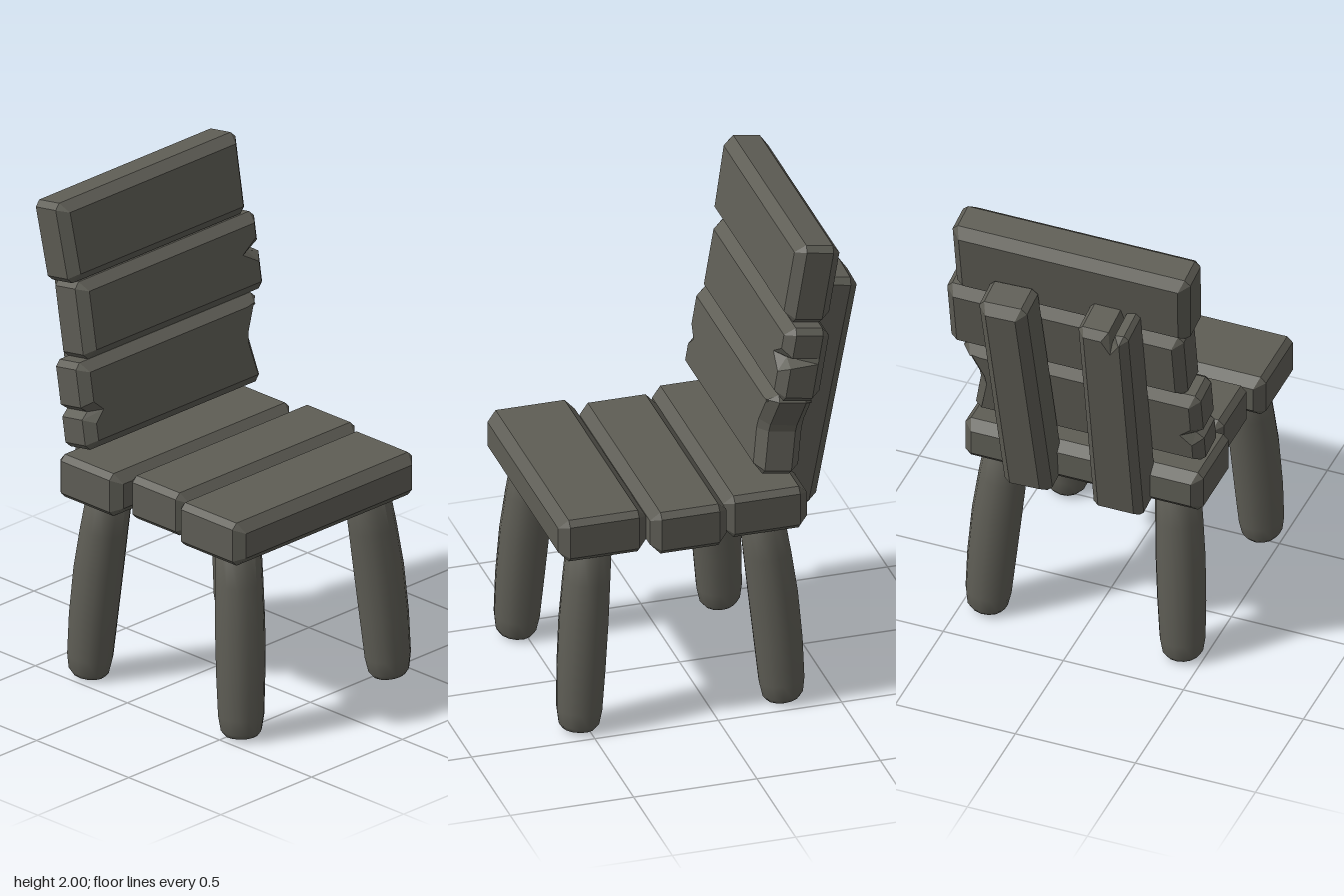
import * as THREE from 'three';

const wood = new THREE.MeshStandardMaterial({ color: 0x5e5d55, flatShading: true });
const smoothWood = new THREE.MeshStandardMaterial({ color: 0x5e5d55 });
const TILT = -0.165; // backward lean of the backrest

// Chamfered timber centred on the origin in y and z. The outline runs
// counter-clockwise from the lower left; the extra points cut nicks into an edge.
function timber(x0, x1, h, depth, { right = [], top = [], left = [], lowX0 = x0, lowX1 = x1, c = 0.038 } = {}) {
  const s = c * 0.6, y = h / 2;
  const pts = [
    [lowX0, -y + s], [lowX0 + s, -y], [lowX1 - s, -y], [lowX1, -y + s],
    ...right,
    [x1, y - s], [x1 - s, y],
    ...top,
    [x0 + s, y], [x0, y - s],
    ...left,
  ];
  const shape = new THREE.Shape(pts.map(([px, py]) => new THREE.Vector2(px, py)));
  const geo = new THREE.ExtrudeGeometry(shape, {
    depth: depth - 2 * c, steps: 1, bevelEnabled: true, bevelSegments: 1,
    bevelSize: c, bevelThickness: c, bevelOffset: -c,
  });
  return geo.translate(0, 0, c - depth / 2);
}

function add(group, name, geo, x, y, z, rx = 0, rz = 0, mat = wood) {
  const mesh = new THREE.Mesh(geo, mat);
  mesh.name = name;
  mesh.position.set(x, y, z);
  mesh.rotation.set(rx, 0, rz);
  group.add(mesh);
  return mesh;
}

// Round leg: a lathe laid along a slightly bowed line from foot to top.
function leg(foot, top) {
  const profile = [[0, 0], [0.065, 0], [0.08, 0.02], [0.09, 0.08], [0.096, 0.25], [0.098, 0.45], [0.094, 0.62], [0.088, 0.8], [0, 0.8]]
    .map(([r, y]) => new THREE.Vector2(r, y));
  const geo = new THREE.LatheGeometry(profile, 14);
  const p = geo.attributes.position;
  const dx = top[0] - foot[0], dz = top[1] - foot[1];
  for (let i = 0; i < p.count; i++) {
    const t = p.getY(i) / 0.8;
    const bow = t + 0.12 * Math.sin(Math.PI * t) * -1;
    // shear along the lean, tipping the foot square to it
    const tip = -(p.getX(i) * dx + p.getZ(i) * dz) / 0.8;
    p.setXYZ(i, p.getX(i) + foot[0] + dx * bow, p.getY(i) + tip + 0.012, p.getZ(i) + foot[1] + dz * bow);
  }
  geo.computeVertexNormals();
  return geo;
}

export function createModel() {
  const model = new THREE.Group();
  model.name = 'woodenChair';

  // Seat planks, front to back
  const seat = new THREE.Group();
  seat.name = 'seat';
  add(seat, 'frontSeatPlank', timber(-0.52, 0.47, 0.18, 0.355), 0, 0.86, 0.45);
  add(seat, 'middleSeatPlank', timber(-0.47, 0.515, 0.18, 0.31), 0, 0.86, 0.115);
  add(seat, 'backSeatPlank', timber(-0.52, 0.47, 0.18, 0.34), 0, 0.86, -0.21);

  // Backrest planks, with a worn edge on the lower one
  const back = new THREE.Group();
  back.name = 'backrest';
  const lower = timber(-0.52, 0.467, 0.355, 0.185, {
    lowX1: 0.437,
    right: [[0.406, 0], [0.41, 0.03]],
    left: [[-0.52, 0.0], [-0.488, -0.025], [-0.52, -0.05]],
  });
  add(back, 'lowerBackPlank', lower, 0, 1.177, -0.288, TILT);

  // Middle plank: the nick fades out towards the rear
  const middle = timber(-0.47, 0.515, 0.315, 0.185, {
    right: [[0.515, -0.01], [0.45, 0.012], [0.515, 0.035]],
  });
  const p = middle.attributes.position;
  for (let i = 0; i < p.count; i++) {
    if (p.getZ(i) < 0 && p.getX(i) > 0.3 && Math.abs(p.getY(i)) < 0.09) {
      p.setX(i, p.getZ(i) < -0.07 ? 0.477 : 0.515);
    }
  }
  middle.computeVertexNormals();
  add(back, 'middleBackPlank', middle, 0, 1.507, -0.345, TILT);

  add(back, 'topBackPlank', timber(-0.52, 0.47, 0.332, 0.185, { lowX0: -0.502 }), 0, 1.83, -0.4, TILT);

  // Upright rails behind the planks; the right one is split at the top
  add(back, 'leftRail', timber(-0.1, 0.1, 1.0, 0.19), 0.19, 1.265, -0.463, TILT, -0.045);
  const split = timber(-0.104, 0.104, 1.0, 0.19, {
    top: [[-0.022, 0.5], [-0.035, 0.45], [-0.048, 0.49]],
    c: 0.03,
  });
  add(back, 'rightRail', split, -0.21, 1.265, -0.463, TILT);

  // Four splayed legs
  const legs = new THREE.Group();
  legs.name = 'legs';
  for (const [side, footX, topX] of [['Left', 0.4, 0.335], ['Right', -0.415, -0.365]]) {
    add(legs, 'front' + side + 'Leg', leg([footX, 0.535], [topX, 0.47]), 0, 0, 0, 0, 0, smoothWood);
    add(legs, 'back' + side + 'Leg', leg([footX, -0.293], [topX, -0.222]), 0, 0, 0, 0, 0, smoothWood);
  }

  model.add(seat, back, legs);
  return model;
}
